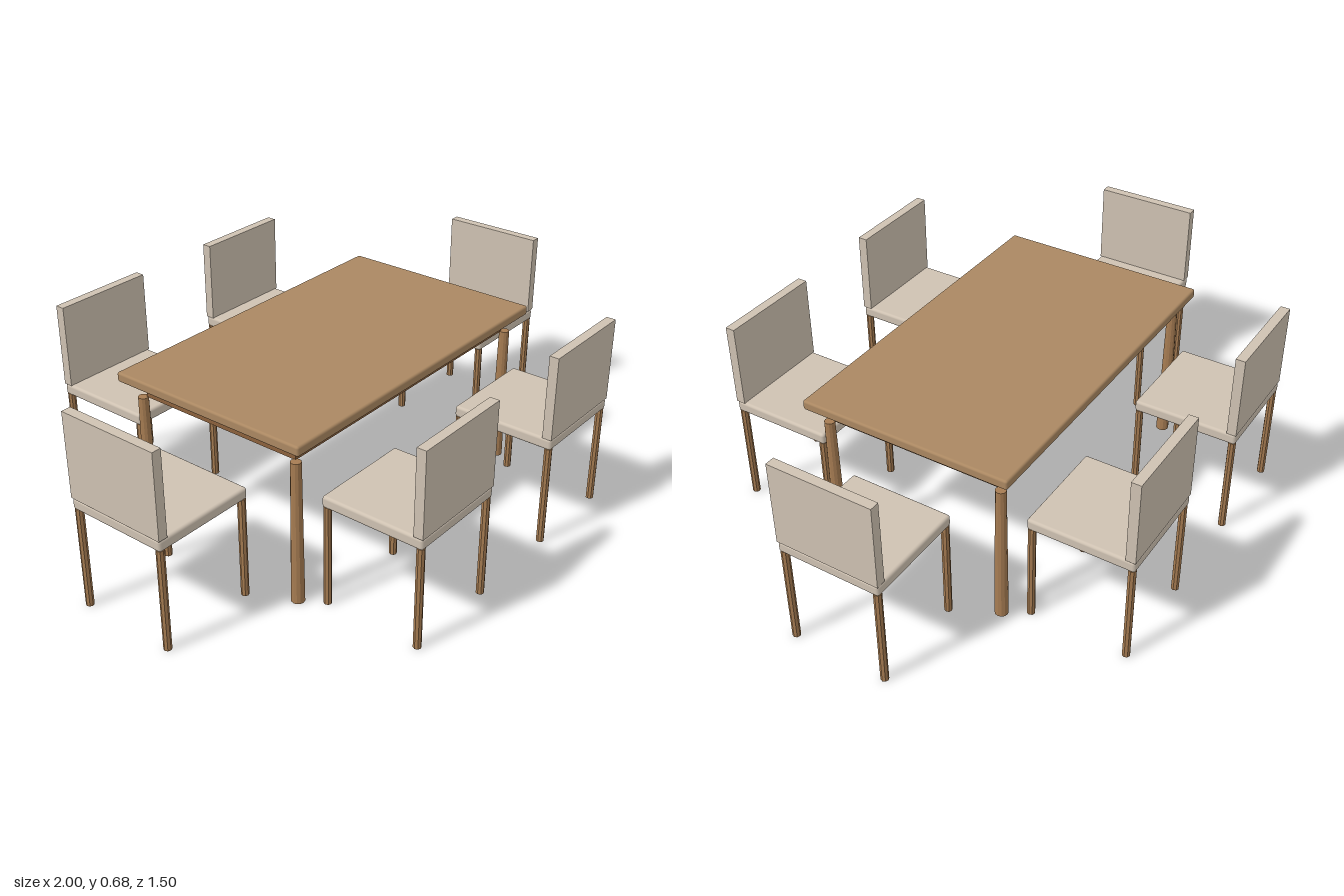
import * as THREE from 'three';
import { RoundedBoxGeometry } from 'three/addons/geometries/RoundedBoxGeometry.js';

const wood = new THREE.MeshStandardMaterial({ color: 0xab8862 });
const darkWood = new THREE.MeshStandardMaterial({ color: 0x8b613c });
const legWood = new THREE.MeshStandardMaterial({ color: 0xa67c52, flatShading: true });
const fabric = new THREE.MeshStandardMaterial({ color: 0xcfc2b2 });

function add(parent, name, geometry, material, x, y, z) {
  const mesh = new THREE.Mesh(geometry, material);
  mesh.name = name;
  mesh.position.set(x, y, z);
  parent.add(mesh);
  return mesh;
}

// Four identical legs standing on the ground at (+-x, +-z)
function addLegs(parent, name, geometry, height, x, z) {
  for (const sx of [-1, 1]) {
    for (const sz of [-1, 1]) add(parent, name, geometry, legWood, sx * x, height / 2, sz * z);
  }
}

function createTable() {
  const table = new THREE.Group();
  table.name = 'table';
  add(table, 'tableTop', new RoundedBoxGeometry(1.246, 0.034, 0.746, 2, 0.008), wood, 0, 0.577, 0);
  // Solid apron block under the top
  add(table, 'apron', new THREE.BoxGeometry(1.12, 0.062, 0.62), darkWood, 0, 0.531, 0);
  // Round legs, slimmer at the top
  addLegs(table, 'tableLeg', new THREE.CylinderGeometry(0.0175, 0.0225, 0.502, 12), 0.502, 0.568, 0.318);
  return table;
}

// Chair with its backrest on local +z
function createChair() {
  const chair = new THREE.Group();
  chair.name = 'chair';
  const size = 0.365;
  add(chair, 'seat', new RoundedBoxGeometry(size, 0.04, size, 2, 0.01), fabric, 0, 0.373, 0);
  add(chair, 'backrest', new THREE.BoxGeometry(size, 0.291, 0.033), fabric, 0, 0.5375, 0.167);
  addLegs(chair, 'chairLeg', new THREE.CylinderGeometry(0.0133, 0.0133, 0.355, 8), 0.355, 0.169, 0.169);
  return chair;
}

export function createModel() {
  const model = new THREE.Group();
  model.name = 'diningSet';
  model.add(createTable());

  // Two chairs on each long side, one at each end: [x, z, turn]
  const places = [
    [-0.351, 0.567, 0], [0.351, 0.567, 0],
    [-0.351, -0.567, Math.PI], [0.351, -0.567, Math.PI],
    [0.8165, 0, Math.PI / 2], [-0.8165, 0, -Math.PI / 2],
  ];
  for (const [x, z, turn] of places) {
    const chair = createChair();
    chair.position.set(x, 0, z);
    chair.rotation.y = turn;
    model.add(chair);
  }
  return model;
}
